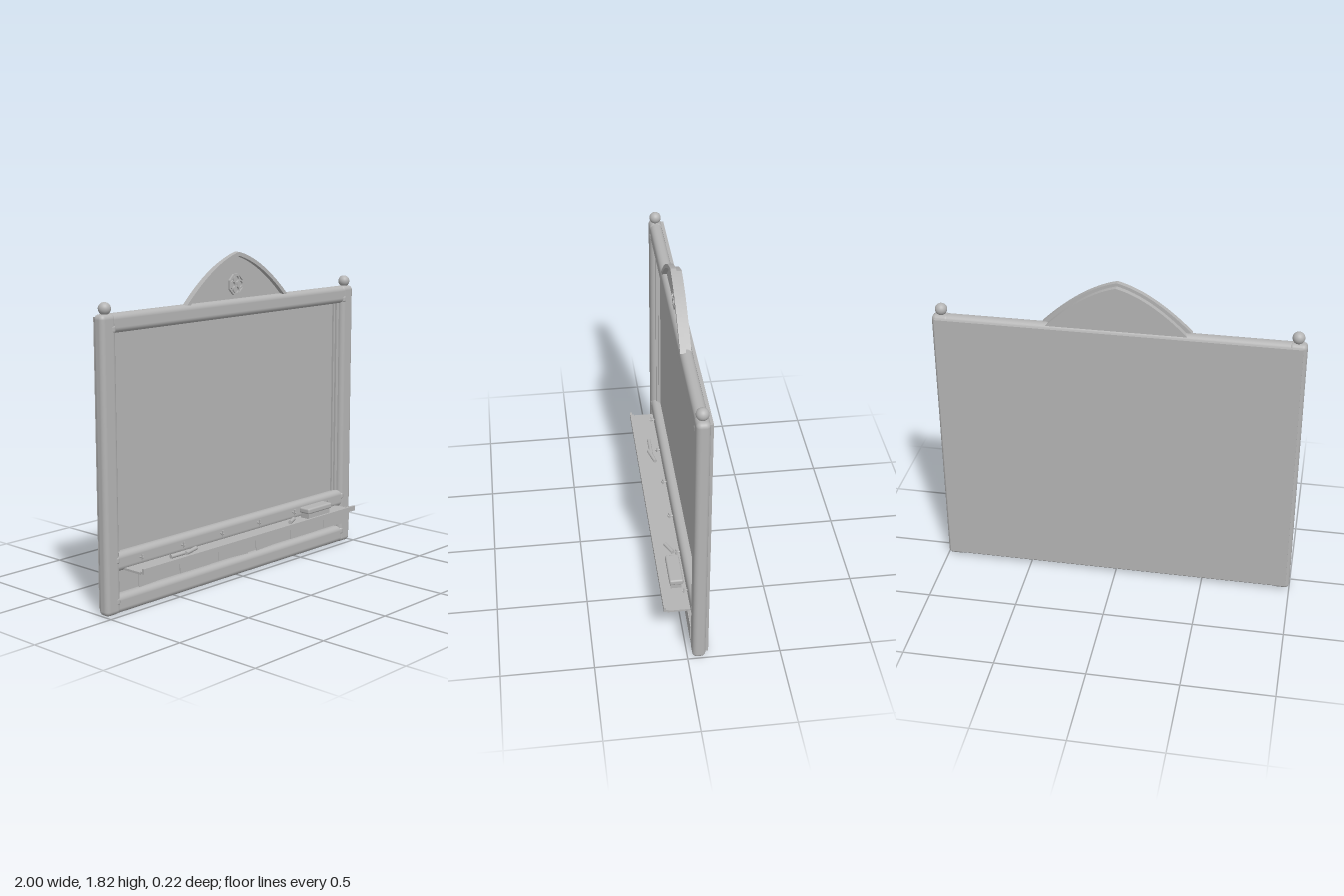
import * as THREE from 'three';
import { RoundedBoxGeometry } from 'three/addons/geometries/RoundedBoxGeometry.js';

export function createModel() {
  const model = new THREE.Group();
  model.name = 'noticeBoard';
  const grey = new THREE.MeshStandardMaterial({ color: 0xb4b4b4 });
  grey.name = 'plain grey';

  const add = (name, geometry, x, y, z) => {
    const mesh = new THREE.Mesh(geometry, grey);
    mesh.name = name;
    mesh.position.set(x, y, z);
    model.add(mesh);
    return mesh;
  };
  // Boxes are given by their limits on each axis
  const place = (name, make, x0, x1, y0, y1, z0, z1) =>
    add(name, make(x1 - x0, y1 - y0, z1 - z0), (x0 + x1) / 2, (y0 + y1) / 2, (z0 + z1) / 2);
  const box = (name, ...limits) => place(name, (w, h, d) => new THREE.BoxGeometry(w, h, d), ...limits);
  const rounded = (name, r, ...limits) =>
    place(name, (w, h, d) => new RoundedBoxGeometry(w, h, d, 5, r), ...limits);

  // Writing surface and backing sheet
  box('writingPanel', -0.93, 0.93, 0.04, 1.53, -0.1, -0.08);
  box('backPanel', -0.98, 0.98, 0.03, 1.55, -0.112, -0.094);

  // Posts with ball finials, inner mouldings and corner collars
  for (const side of [-1, 1]) {
    const span = (a, b) => (side > 0 ? [a, b] : [-b, -a]);
    rounded('post', 0.026, ...span(0.9, 1), 0, 1.567, -0.098, -0.026);
    box('innerMoulding', ...span(0.88, 0.91), 0.3, 1.49, -0.085, -0.056);
    box('innerBead', ...span(0.868, 0.885), 0.3, 1.49, -0.085, -0.068);
    add('finial', new THREE.SphereGeometry(0.033, 24, 16), side * 0.95, 1.594, -0.061);
    add('finialNeck', new THREE.CylinderGeometry(0.016, 0.022, 0.02, 20), side * 0.95, 1.565, -0.061);
    for (const y of [0.07, 0.29, 1.49]) {
      rounded('cornerCollar', 0.012, ...span(0.905, 0.935), y - 0.02, y + 0.02, -0.06, -0.024);
    }
  }

  // Horizontal rails
  for (const [name, y0, y1] of [['bottomRail', 0, 0.1], ['middleRail', 0.225, 0.327], ['topRail', 1.467, 1.567]]) {
    rounded(name, 0.03, -0.94, 0.94, y0, y1, -0.096, -0.028);
  }

  // Pointed crest: solid board with a raised arch strip in front
  const archPoints = (halfWidth, top, base) => {
    const right = new THREE.CubicBezierCurve(
      new THREE.Vector2(halfWidth, base), new THREE.Vector2(halfWidth * 0.66, base + (top - base) * 0.53),
      new THREE.Vector2(halfWidth * 0.32, top - 0.03), new THREE.Vector2(0, top)).getPoints(20);
    const left = right.slice(0, -1).reverse().map((p) => new THREE.Vector2(-p.x, p.y));
    return [...right, ...left];
  };
  const extrude = (shape, depth) =>
    new THREE.ExtrudeGeometry(shape, { depth, bevelEnabled: false, curveSegments: 24 });
  add('crestBoard', extrude(new THREE.Shape(archPoints(0.385, 1.805, 1.55)), 0.032), 0, 0, -0.088);
  const strip = [...archPoints(0.4, 1.822, 1.564), ...archPoints(0.372, 1.8, 1.564).reverse()];
  add('crestArch', extrude(new THREE.Shape(strip), 0.03), 0, 0, -0.058);

  // Rosette: octagonal ring holding four small rings
  const ring = (outer, inner, sides) => {
    const circle = (Type, r) => new Type(Array.from({ length: sides }, (_, i) => {
      const a = ((i + 0.5) / sides) * Math.PI * 2;
      return new THREE.Vector2(Math.cos(a) * r, Math.sin(a) * r);
    }));
    const shape = new THREE.Shape(circle(THREE.Shape, outer).getPoints());
    shape.holes.push(circle(THREE.Path, inner));
    return extrude(shape, 0.012);
  };
  add('rosetteRim', ring(0.062, 0.051, 8), 0, 1.645, -0.056);
  for (let i = 0; i < 4; i++) {
    const a = (i * Math.PI) / 2;
    add('rosettePetal', ring(0.024, 0.016, 20), Math.cos(a) * 0.029, 1.645 + Math.sin(a) * 0.029, -0.056);
  }

  // Chalk tray with a raised front lip
  box('trayBase', -0.87, 0.867, 0.228, 0.24, -0.04, 0.092);
  box('trayLipStep', -0.87, 0.867, 0.234, 0.246, 0.088, 0.113);
  box('trayLip', -0.87, 0.867, 0.24, 0.263, 0.1, 0.113);

  // Pegs along the middle rail, and cards hanging below
  for (let i = 0; i < 6; i++) {
    const x = -0.763 + i * 0.305;
    const peg = add('peg', new THREE.CylinderGeometry(0.005, 0.005, 0.034, 12), x, 0.278, -0.015);
    peg.rotation.x = Math.PI / 2;
    box('pegHook', x - 0.005, x + 0.005, 0.264, 0.296, -0.012, -0.004);
    const tilt = [0.035, 0, -0.045, 0.045, 0, -0.05][i];
    const card = add('card', new THREE.BoxGeometry(0.24, 0.1, 0.004), -0.667 + i * 0.304, 0.174, -0.016);
    card.rotation.z = tilt;
  }

  // Eraser and chalk sticks lying in the tray
  box('eraserFelt', 0.51, 0.7, 0.24, 0.272, -0.005, 0.055);
  rounded('eraserBody', 0.01, 0.5, 0.712, 0.27, 0.303, -0.013, 0.062);
  for (const [x, z, length, turn] of [[-0.522, 0.026, 0.14, 0], [-0.438, 0.025, 0.11, 0.27], [0.39, 0.026, 0.082, 0.45]]) {
    const chalk = add('chalk', new THREE.CylinderGeometry(0.011, 0.011, length, 14), x, 0.251, z);
    chalk.rotation.set(0, turn, Math.PI / 2);
  }

  return model;
}
